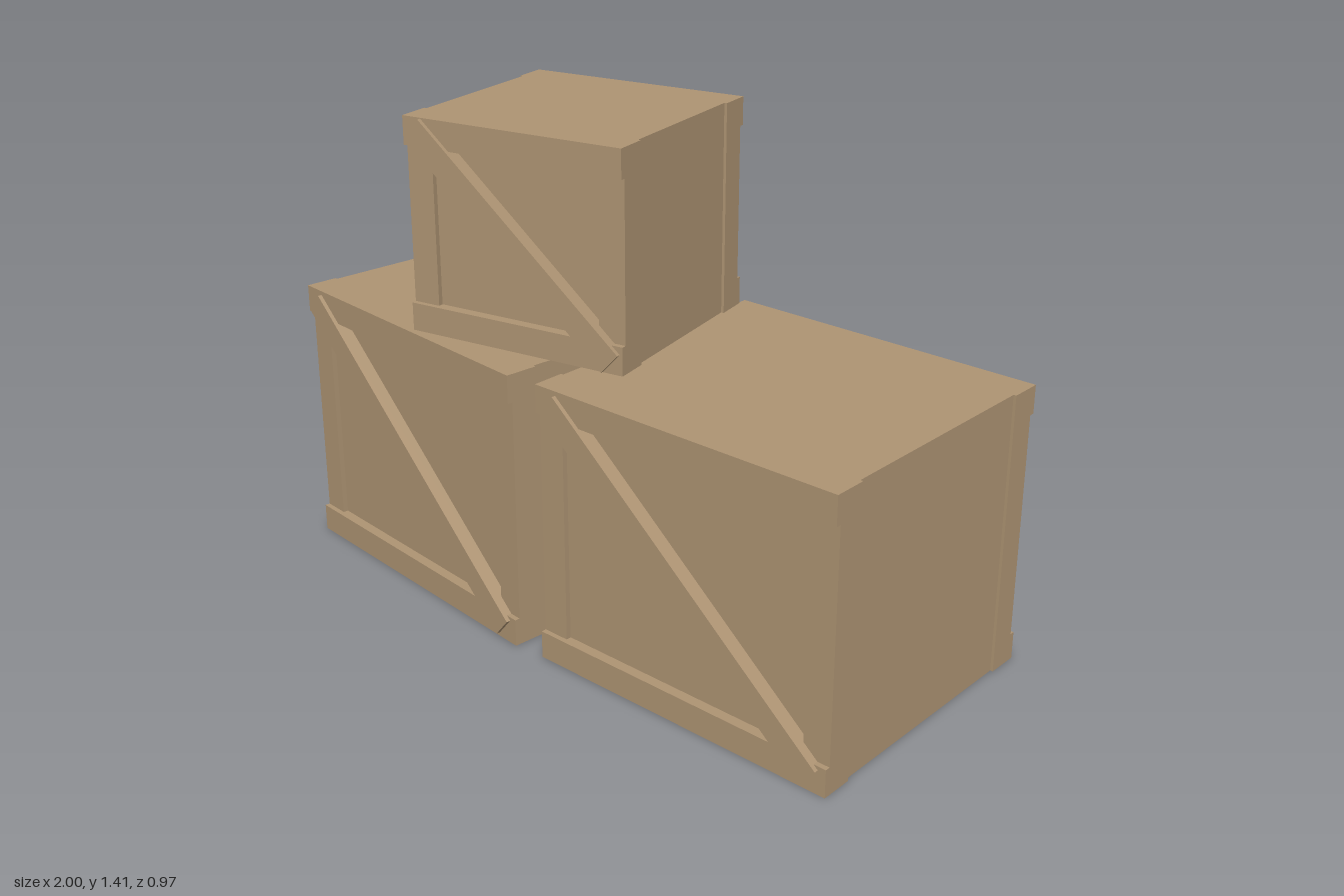
import * as THREE from 'three';

const wood = new THREE.MeshStandardMaterial({ color: 0xae9473 });
wood.name = 'wood';

const BOARD = 0.08;  // board width
const STEP = 0.015;  // rails stand this far in front of the posts, posts in front of the panels

function board(parent, name, w, h, d, x, y, z) {
  const mesh = new THREE.Mesh(new THREE.BoxGeometry(w, h, d), wood);
  mesh.name = name;
  mesh.position.set(x, y, z);
  parent.add(mesh);
  return mesh;
}

// One crate standing on its local y = 0, with the brace on its +z face
function makeCrate(name, w, h, d) {
  const crate = new THREE.Group();
  crate.name = name;

  // Recessed panels on all sides
  board(crate, 'panels', w - 0.016, h, d - 4 * STEP, 0, h / 2, 0);

  for (const sz of [-1, 1]) {
    // Top and bottom rails, front and back
    const railDepth = BOARD + STEP;
    for (const y of [BOARD / 2, h - BOARD / 2]) {
      board(crate, 'rail', w, BOARD, railDepth, 0, y, sz * (d - railDepth) / 2);
    }
    // Corner posts between the rails
    for (const sx of [-1, 1]) {
      board(crate, 'cornerPost', BOARD, h - 2 * BOARD, BOARD,
        sx * (w - BOARD) / 2, h / 2, sz * (d / 2 - STEP - BOARD / 2));
    }
  }

  // Diagonal brace, falling from upper left to lower right
  const thick = 0.042;
  const brace = board(crate, 'diagonalBrace', Math.hypot(w, h) * 0.9, 0.075, thick,
    0, h / 2, d / 2 + 0.012 - thick / 2);
  brace.rotation.z = -Math.atan2(h, w);
  return crate;
}

export function createModel() {
  const group = new THREE.Group();
  group.name = 'crateStack';

  // name, width, height, depth, x, y, z, turn about y
  const crates = [
    ['lowerRightCrate', 0.955, 0.806, 0.85, -0.522, 0, 0.048, 0],
    ['lowerLeftCrate', 0.955, 0.806, 0.85, 0.482, 0, -0.015, 0.1],
    ['upperCrate', 0.675, 0.604, 0.645, -0.255, 0.806, 0.048, 0.3],
  ];
  for (const [name, w, h, d, x, y, z, turn] of crates) {
    const crate = makeCrate(name, w, h, d);
    crate.position.set(x, y, z);
    crate.rotation.y = turn;
    group.add(crate);
  }
  return group;
}
